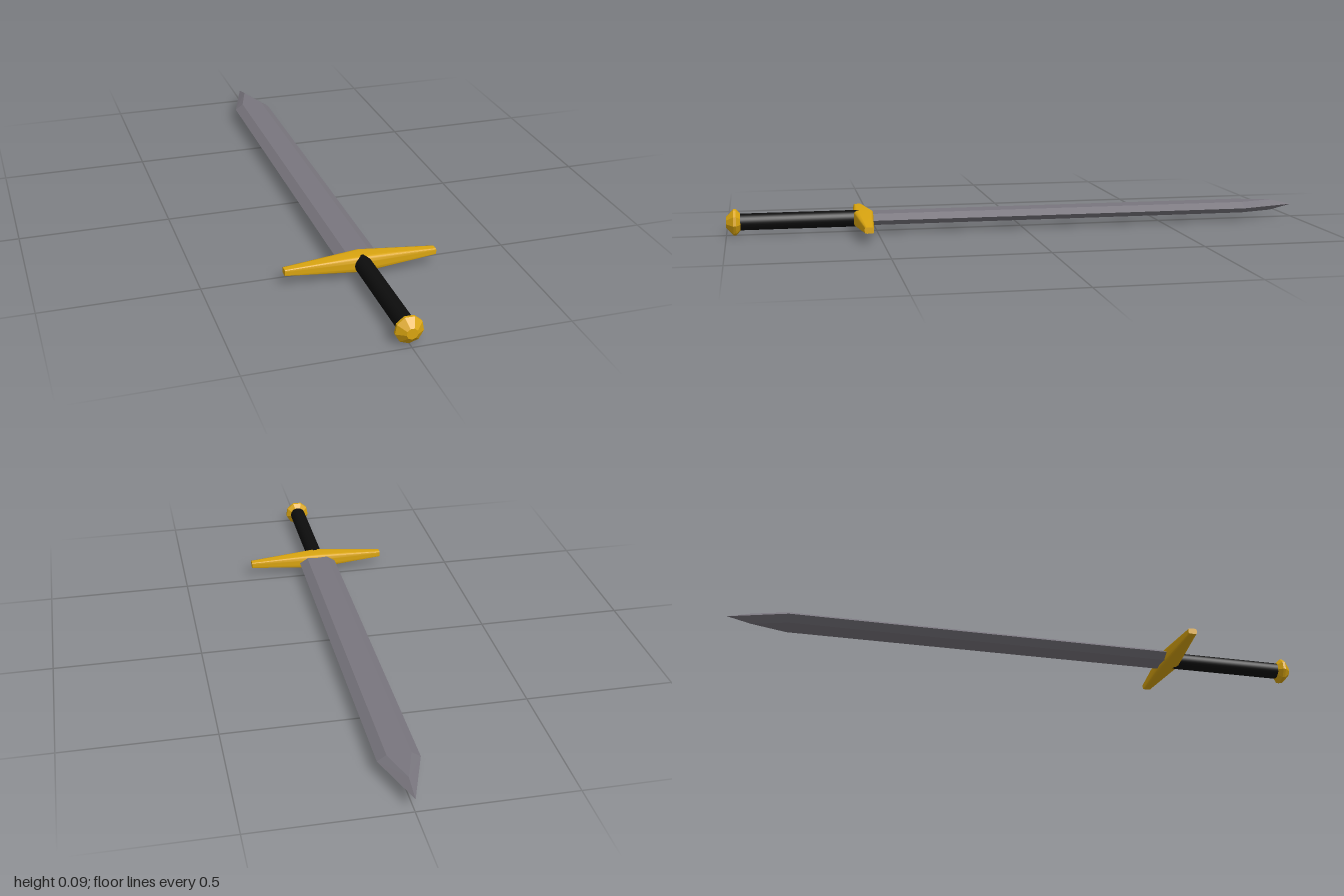
import * as THREE from 'three';
import { toCreasedNormals } from 'three/addons/utils/BufferGeometryUtils.js';
import { ConvexGeometry } from 'three/addons/geometries/ConvexGeometry.js';

const AXIS_Y = 0.0445; // height of the sword's long axis

export function createModel() {
  const group = new THREE.Group();
  const steel = new THREE.MeshStandardMaterial({ color: 0x79767e });
  steel.name = 'steel';
  const gold = new THREE.MeshStandardMaterial({ color: 0xdaa510 });
  gold.name = 'gold';
  const leather = new THREE.MeshStandardMaterial({ color: 0x0d0d0d });
  leather.name = 'black leather';
  const pommelGold = gold.clone();
  pommelGold.flatShading = true;

  const add = (name, geometry, material, z = 0) => {
    const mesh = new THREE.Mesh(geometry, material);
    mesh.name = name;
    mesh.position.set(0, AXIS_Y, z);
    group.add(mesh);
  };

  // Blade: hexagonal section, flats and bevels meeting in a faceted point
  const edge = 0.067, flat = 0.038, thick = 0.019;
  const points = [new THREE.Vector3(0, 0, -1)];
  for (const side of [-1, 1]) {
    points.push(new THREE.Vector3(0, side * thick, -0.92));
    for (const z of [0.54, -0.8]) {
      points.push(new THREE.Vector3(side * edge, 0, z));
      for (const face of [-1, 1]) points.push(new THREE.Vector3(side * flat, face * thick, z));
    }
  }
  add('blade', new ConvexGeometry(points), steel);

  // Crossguard: rounded-square section tapering from the middle to both ends
  const half = 0.248;
  const guard = new THREE.CylinderGeometry(1, 1, 2 * half, 40, 2).rotateZ(Math.PI / 2);
  const pos = guard.attributes.position;
  for (let i = 0; i < pos.count; i++) {
    const x = pos.getX(i), y = pos.getY(i), z = pos.getZ(i);
    const t = Math.abs(x) / half;
    const len = Math.hypot(y, z);
    const k = len < 1e-6 ? 0 : 1 / Math.pow(Math.abs(y) ** 5 + Math.abs(z) ** 5, 0.2);
    pos.setXYZ(i, x, y * k * THREE.MathUtils.lerp(0.028, 0.01, t), z * k * THREE.MathUtils.lerp(0.035, 0.015, t));
  }
  add('crossguard', toCreasedNormals(guard, 1.0), gold, 0.545);

  // Grip
  add('grip', new THREE.CylinderGeometry(0.028, 0.028, 0.4, 32).rotateX(Math.PI / 2), leather, 0.76);

  // Pommel: nine-sided faceted knob with a corner pointing down
  const profile = [[0, 0.953], [0.029, 0.953], [0.0445, 0.967], [0.0445, 0.976], [0.018, 1], [0, 1]];
  const pommel = new THREE.LatheGeometry(profile.map(([r, z]) => new THREE.Vector2(r, z)), 9);
  add('pommel', pommel.rotateX(Math.PI / 2), pommelGold);

  return group;
}
